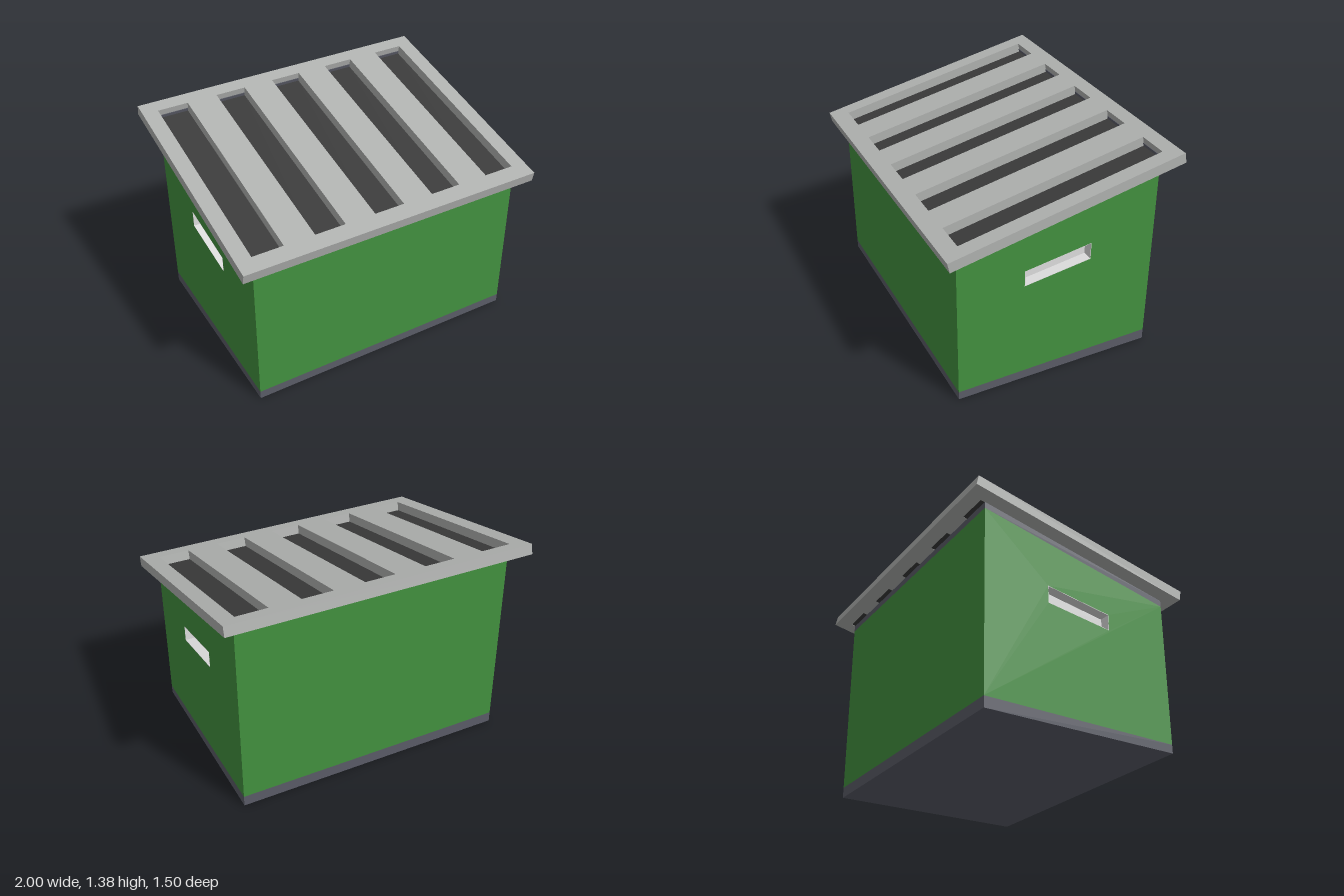
import * as THREE from 'three';

const mat = (name, color) => {
  const m = new THREE.MeshStandardMaterial({ color });
  m.name = name;
  return m;
};

export function createModel() {
  const green = mat('green wall', 0x42913f);
  const slate = mat('slate trim', 0x5a5c67);
  const grey = mat('roof grey', 0xb0b2b0);
  const dark = mat('dark panel', 0x3a3a3a);
  const light = mat('light recess', 0xdedede);

  const model = new THREE.Group();
  model.name = 'slantRoofBin';

  const add = (parent, name, geometry, material) => {
    const mesh = new THREE.Mesh(geometry, material);
    mesh.name = name;
    parent.add(mesh);
    return mesh;
  };
  const outline = (pts, hole) => {
    const shape = new THREE.Shape(pts.map(p => new THREE.Vector2(...p)));
    if (hole) shape.holes.push(new THREE.Path(hole.map(p => new THREE.Vector2(...p))));
    return shape;
  };
  // Extrude a (z, y) profile along x, centred on the given x
  const alongX = (shape, width, x = 0) => {
    const g = new THREE.ExtrudeGeometry(shape, { depth: width, bevelEnabled: false });
    return g.translate(0, 0, -width / 2).rotateY(-Math.PI / 2).translate(x, 0, 0);
  };

  // Body: base band, green walls and sloped top band
  const F = 0.665, B = -0.637, W = 1.81, D = 0.07;
  const wall = [[B, 0.07], [F, 0.055], [F, 0.987], [B, 1.255]];
  add(model, 'baseBand', alongX(outline([[B, 0], [F, 0], [F, 0.055], [B, 0.07]]), W), slate);
  add(model, 'topBand', alongX(outline([[B, 1.255], [F, 0.987], [F, 1.028], [B, 1.296]]), W), slate);
  add(model, 'bodyCore', alongX(outline(wall), W - 2 * D), green);

  // Side walls with a recessed slanted handhold
  const slot = [[-0.203, 0.757], [0.235, 0.697], [0.235, 0.803], [-0.203, 0.87]];
  const inner = [[-0.2, 0.76], [0.232, 0.7], [0.232, 0.8], [-0.2, 0.867]];
  for (const s of [-1, 1]) {
    const side = s < 0 ? 'right' : 'left';
    const x = s * (W / 2 - D / 2);
    add(model, side + 'Wall', alongX(outline(wall, slot), D, x), green);
    add(model, side + 'HandholdLiner', alongX(outline(slot, inner), D, x), light);
    add(model, side + 'HandholdBack', alongX(outline(slot), 0.004, s * (W / 2 - D + 0.002)), light);
  }

  // Sloped roof slab with five long slots
  const roof = new THREE.Group();
  roof.name = 'roof';
  roof.position.set(0, 1.166, -0.004);
  roof.rotation.x = 0.2035;
  model.add(roof);
  const T = 0.066, L = 1.523, S = 1.327, off = 0.009;
  const rect = (cx, cy, w, h) => [
    [cx - w / 2, cy - h / 2], [cx + w / 2, cy - h / 2],
    [cx + w / 2, cy + h / 2], [cx - w / 2, cy + h / 2],
  ];
  const slab = outline(rect(0, 0, 2, L));
  for (let i = -2; i <= 2; i++) {
    const x = i * 0.4;
    slab.holes.push(new THREE.Path(rect(x, off, 0.2, S).map(p => new THREE.Vector2(...p))));
    // Dark floor of the slot and a slate strip at its high end
    add(roof, 'slotPanel', new THREE.BoxGeometry(0.2, 0.004, S), dark).position.set(x, 0.003, -off);
    add(roof, 'slotStrip', new THREE.BoxGeometry(0.2, 0.02, 0.004), slate)
      .position.set(x, 0.015, -off - S / 2 + 0.002);
  }
  const slabGeo = new THREE.ExtrudeGeometry(slab, { depth: T, bevelEnabled: false });
  add(roof, 'roofSlab', slabGeo.rotateX(-Math.PI / 2), grey);

  return model;
}
